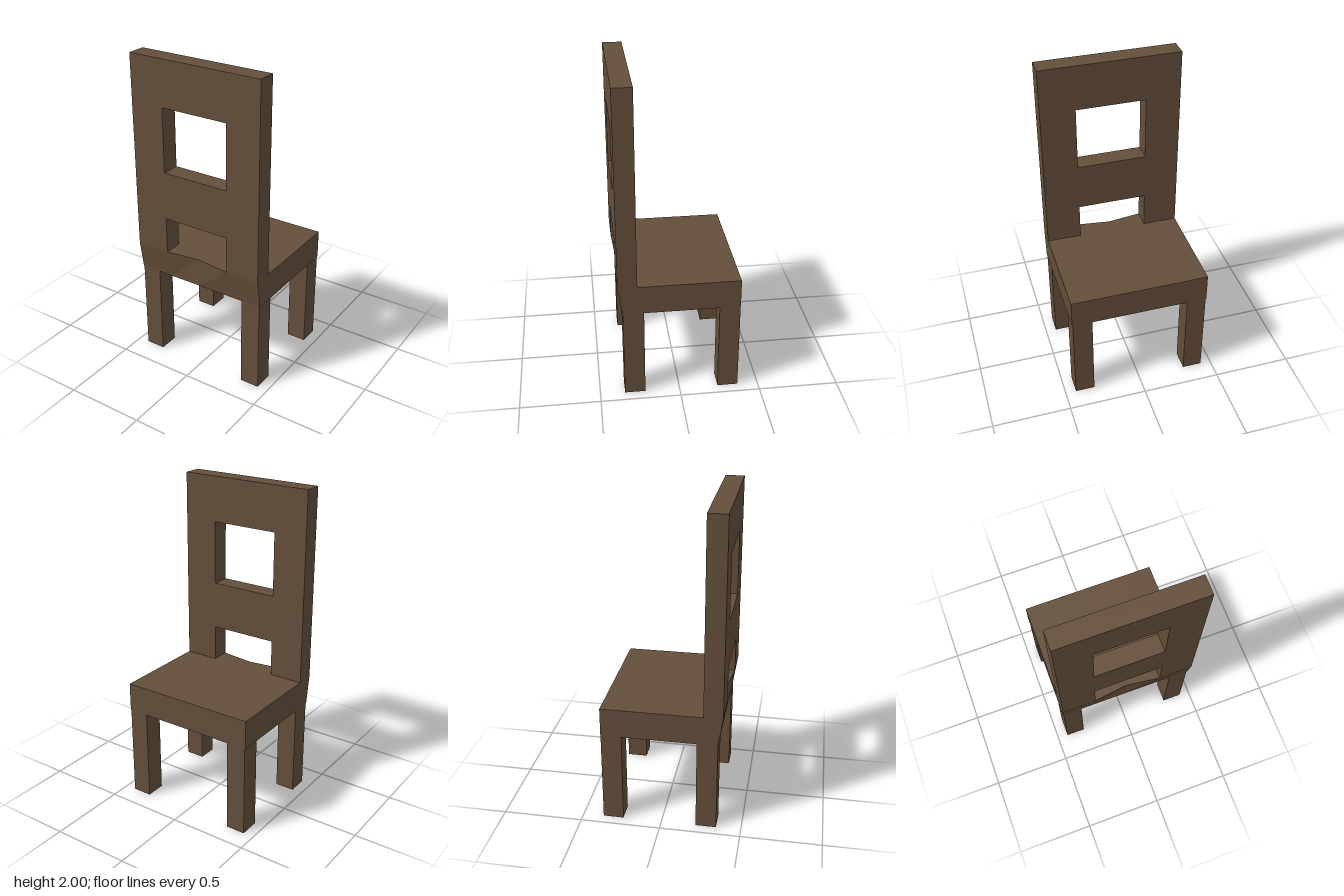
import * as THREE from 'three';

const wood = new THREE.MeshStandardMaterial({ color: 0x634e3a });
wood.name = 'brownWood';

const HALF = 0.436;        // half width of the chair
const HOLE = 0.218;        // half width of the openings
const SEAT_BOTTOM = 0.59, SEAT_TOP = 0.773;
const REAR = -0.371, LEG_FRONT = 0.345, BACK_FRONT = 0.373, BACK_INNER = 0.255;

function part(name, geometry) {
  const mesh = new THREE.Mesh(geometry, wood);
  mesh.name = name;
  return mesh;
}

function boxBetween(x0, x1, y0, y1, z0, z1) {
  return new THREE.BoxGeometry(x1 - x0, y1 - y0, z1 - z0)
    .translate((x0 + x1) / 2, (y0 + y1) / 2, (z0 + z1) / 2);
}

// Seat slab: one face leans out to meet the backrest, except at its middle point
function seatGeometry() {
  const box = new THREE.BoxGeometry(4, 1, 1, 4, 1, 1);
  const p = box.attributes.position;
  const columns = [-HALF, -HOLE, 0, HOLE, HALF];
  for (let i = 0; i < p.count; i++) {
    const column = Math.round(p.getX(i)) + 2;
    const top = p.getY(i) > 0, front = p.getZ(i) > 0;
    const leansOut = top && column !== 2;
    p.setXYZ(i, columns[column], top ? SEAT_TOP : SEAT_BOTTOM,
      front ? (leansOut ? BACK_FRONT : LEG_FRONT) : REAR);
  }
  const flat = box.toNonIndexed();
  flat.computeVertexNormals();
  return flat;
}

// Backrest panel: open notch above the seat and a rectangular window
function backrestGeometry() {
  const outline = [
    [-HALF, SEAT_TOP], [-HOLE, SEAT_TOP], [-HOLE, 1.003], [HOLE, 1.003],
    [HOLE, SEAT_TOP], [HALF, SEAT_TOP], [HALF, 2], [-HALF, 2],
  ];
  const window = [[-HOLE, 1.307], [-HOLE, 1.713], [HOLE, 1.713], [HOLE, 1.307]];
  const points = list => list.map(([x, y]) => new THREE.Vector2(x, y));
  const shape = new THREE.Shape(points(outline));
  shape.holes.push(new THREE.Path(points(window)));
  return new THREE.ExtrudeGeometry(shape, { depth: BACK_FRONT - BACK_INNER, bevelEnabled: false })
    .translate(0, 0, BACK_INNER);
}

export function createModel() {
  const chair = new THREE.Group();
  chair.name = 'chair';
  chair.add(part('seat', seatGeometry()), part('backrest', backrestGeometry()));

  // Four square legs
  for (const [side, x0, x1] of [['Left', 0.308, 0.432], ['Right', -0.432, -0.308]]) {
    chair.add(
      part('frontLeg' + side, boxBetween(x0, x1, 0, SEAT_BOTTOM, 0.217, LEG_FRONT)),
      part('rearLeg' + side, boxBetween(x0, x1, 0, SEAT_BOTTOM, REAR, -0.243)),
    );
  }
  return chair;
}
